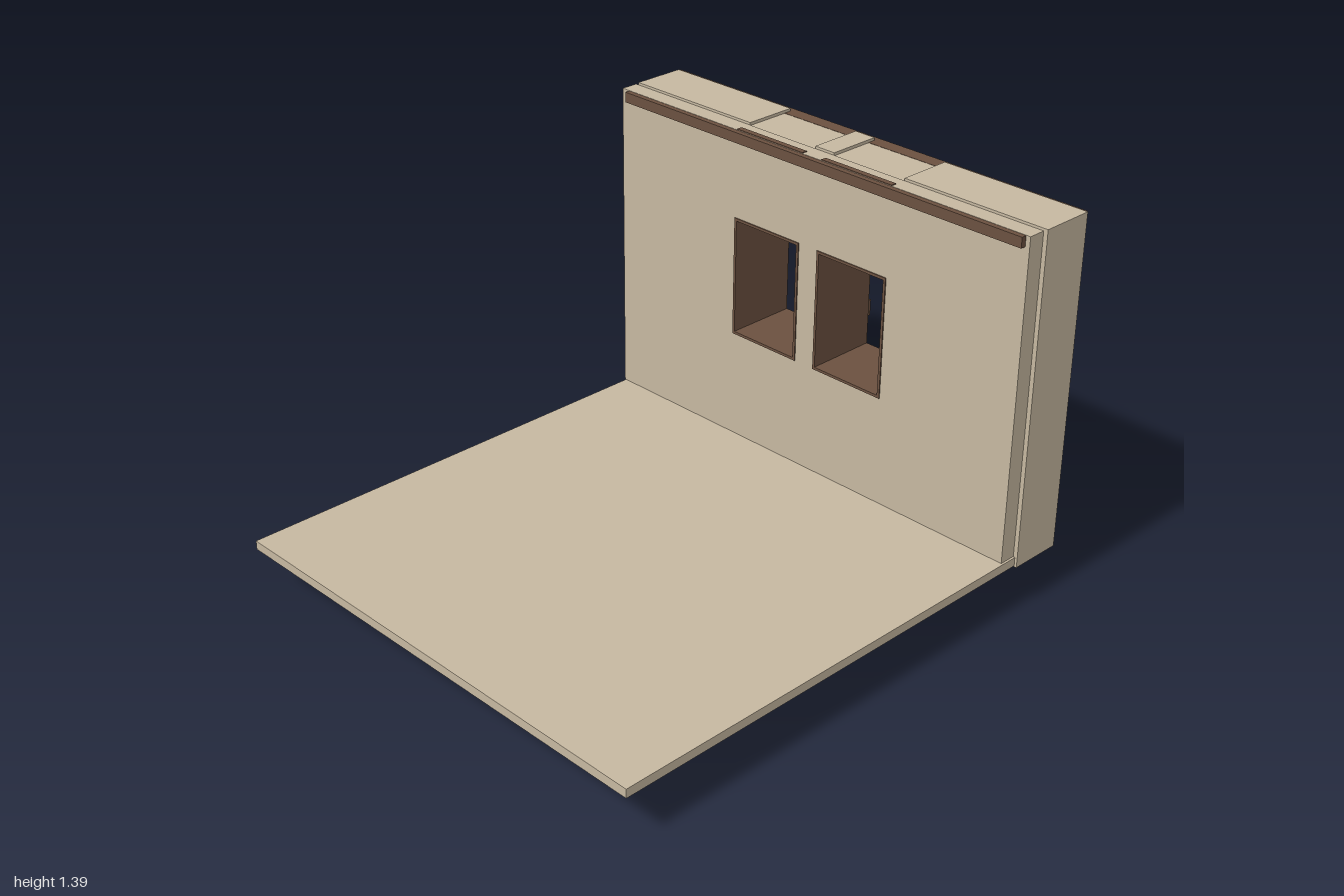
import * as THREE from 'three';

export function createModel() {
  const model = new THREE.Group();
  const plaster = new THREE.MeshStandardMaterial({ color: 0xc6b8a0 });
  plaster.name = 'beigePlaster';
  const wood = new THREE.MeshStandardMaterial({ color: 0x6b5140 });
  wood.name = 'brownWood';

  // Box given by its limits on each axis
  function box(name, mat, x0, x1, y0, y1, z0, z1, parent = model) {
    const mesh = new THREE.Mesh(new THREE.BoxGeometry(x1 - x0, y1 - y0, z1 - z0), mat);
    mesh.position.set((x0 + x1) / 2, (y0 + y1) / 2, (z0 + z1) / 2);
    mesh.name = name;
    parent.add(mesh);
    return mesh;
  }

  const windows = [[-0.35, -0.045], [0.04, 0.347]];
  const sill = 0.61, head = 1.06;

  // Floor slab
  box('floor', plaster, -0.92, 0.915, 0.172, 0.205, -0.77, 1);

  // Inner wall with two window holes
  const outline = new THREE.Shape();
  outline.moveTo(-0.925, 0.2).lineTo(0.907, 0.2).lineTo(0.907, 1.386).lineTo(-0.925, 1.386).closePath();
  for (const [a, b] of windows) {
    const hole = new THREE.Path();
    hole.moveTo(a, sill).lineTo(a, head).lineTo(b, head).lineTo(b, sill).closePath();
    outline.holes.push(hole);
  }
  const inner = new THREE.Mesh(
    new THREE.ExtrudeGeometry(outline, { depth: 0.065, bevelEnabled: false }), plaster);
  inner.position.z = -0.772;
  inner.name = 'innerWall';
  model.add(inner);

  // Outer wall: three tall piers with recessed panels above and below each window
  for (const [a, b] of [[-0.912, -0.35], [-0.045, 0.04], [0.347, 0.923]])
    box('outerPier', plaster, a, b, 0.167, 1.395, -0.975, -0.772);
  for (const [a, b] of windows) {
    box('lowerPanel', plaster, a, b, 0.175, sill, -0.945, -0.772);
    box('upperPanel', plaster, a, b, head, 1.384, -0.945, -0.772);
    box('topSeam', wood, a, b, 1.386, 1.389, -0.73, -0.708);
  }

  // Window linings
  const t = 0.01;
  for (const [a, b] of windows) {
    const lining = new THREE.Group();
    lining.name = 'windowLining';
    model.add(lining);
    box('sill', wood, a, b, sill, sill + t, -0.978, -0.703, lining);
    box('head', wood, a, b, head - t, head, -0.978, -0.703, lining);
    box('jamb', wood, a, a + t, sill, head, -0.978, -0.703, lining);
    box('jamb', wood, b - t, b, sill, head, -0.978, -0.703, lining);
  }

  // Rail along the top of the inner wall
  box('topRail', wood, -0.89, 0.89, 1.347, 1.385, -0.707, -0.687);

  // Frame of the rear lattice
  const lattice = new THREE.Group();
  lattice.name = 'rearLattice';
  model.add(lattice);
  const cx = -0.01, cy = 0.7825, back = -1, front = -0.974;
  box('topFrame', wood, -0.925, 0.905, 1.325, 1.385, back, front, lattice);
  box('bottomFrame', wood, -0.925, 0.905, 0.18, 0.24, back, front, lattice);
  for (const [a, b] of windows) {
    box('topFrameInset', wood, a, b, 1.325, 1.385, front, -0.945, lattice);
    box('bottomFrameInset', wood, a, b, 0.18, 0.24, front, -0.945, lattice);
  }
  for (const [a, b] of [[-0.925, -0.847], [0.827, 0.905]])
    box('sideFrame', wood, a, b, 0.24, 1.325, back, front, lattice);

  // Stepped fretwork: one quarter from the corner inward, mirrored both ways
  const fret = [
    '.....###',
    '.##..###',
    '.###.##.',
    '.##.###.',
    '##...##.',
    '#.....##',
    '.##.###.',
    '.....##.',
  ];
  const cw = 0.061, ch = 0.064;
  for (const sx of [-1, 1]) {
    for (const sy of [-1, 1]) {
      fret.forEach((row, r) => {
        for (const run of row.matchAll(/#+/g)) {
          const xa = cx + sx * (0.837 - run.index * cw);
          const xb = cx + sx * (0.837 - (run.index + run[0].length) * cw);
          const ya = cy + sy * (0.5425 - r * ch), yb = cy + sy * (0.5425 - (r + 1) * ch);
          box('fret', wood, Math.min(xa, xb), Math.max(xa, xb),
            Math.min(ya, yb), Math.max(ya, yb), back, front, lattice);
        }
      });
    }
    const e = [cx + sx * 0.837, cx + sx * 0.41].sort((p, q) => p - q);
    box('middleBar', wood, e[0], e[1], cy - 0.0305, cy + 0.0305, back, front, lattice);
  }
  box('centreBlock', wood, -0.045, 0.04, 0.72, 0.78, back, front, lattice);

  // Support posts
  for (const x of [-0.7, -0.24, 0.22, 0.677])
    box('post', wood, x - 0.027, x + 0.027, 0, 0.175, -0.973, -0.867);

  return model;
}
